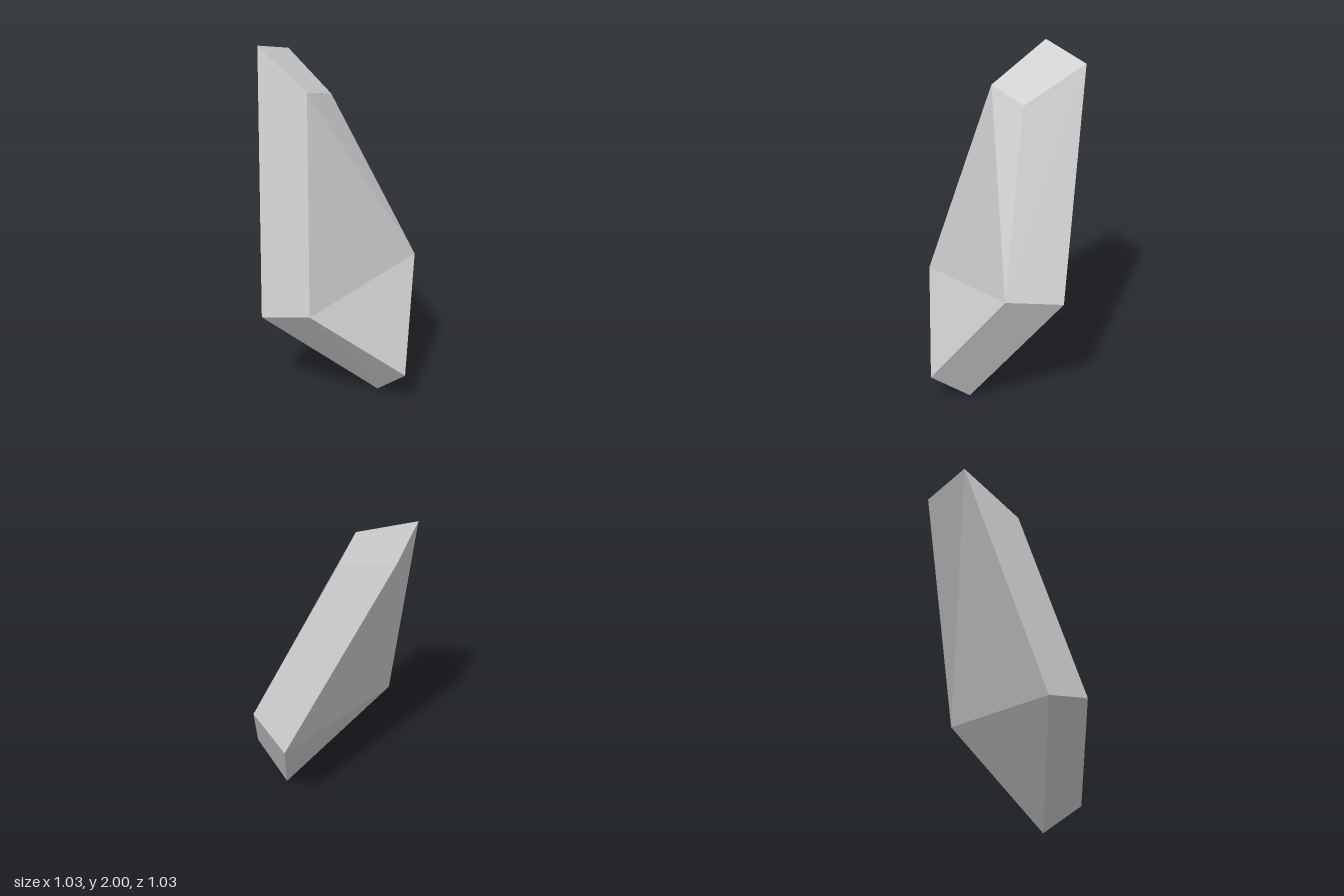
import * as THREE from 'three';

// Matching five-corner outlines of the two broad faces, in the same order
const outer = [[-0.435, 2, 0.212], [-0.515, 1.92, -0.08], [-0.095, 0.71, -0.515], [0.265, 0, -0.08], [-0.07, 0.545, 0.515]];
const inner = [[-0.05, 1.805, 0.18], [-0.115, 1.74, -0.055], [0.225, 0.765, -0.408], [0.513, 0.195, -0.06], [0.242, 0.628, 0.425]];

export function createModel() {
  const group = new THREE.Group();
  group.name = 'shard';

  const n = outer.length;
  const index = [];
  // Broad faces, split along the faint creases
  for (const [a, b, c] of [[0, 1, 2], [0, 2, 4], [4, 2, 3]]) {
    index.push(a, b, c);
    index.push(n + a, n + c, n + b);
  }
  // Rim joining the two outlines
  for (let i = 0; i < n; i++) {
    const j = (i + 1) % n;
    index.push(i, n + i, n + j, i, n + j, j);
  }

  const indexed = new THREE.BufferGeometry();
  indexed.setAttribute('position', new THREE.Float32BufferAttribute([...outer, ...inner].flat(), 3));
  indexed.setIndex(index);
  const geometry = indexed.toNonIndexed();
  geometry.computeVertexNormals();

  const material = new THREE.MeshStandardMaterial({ color: 0xcccccc, flatShading: true });
  const shard = new THREE.Mesh(geometry, material);
  shard.name = 'shardBody';
  group.add(shard);
  return group;
}
